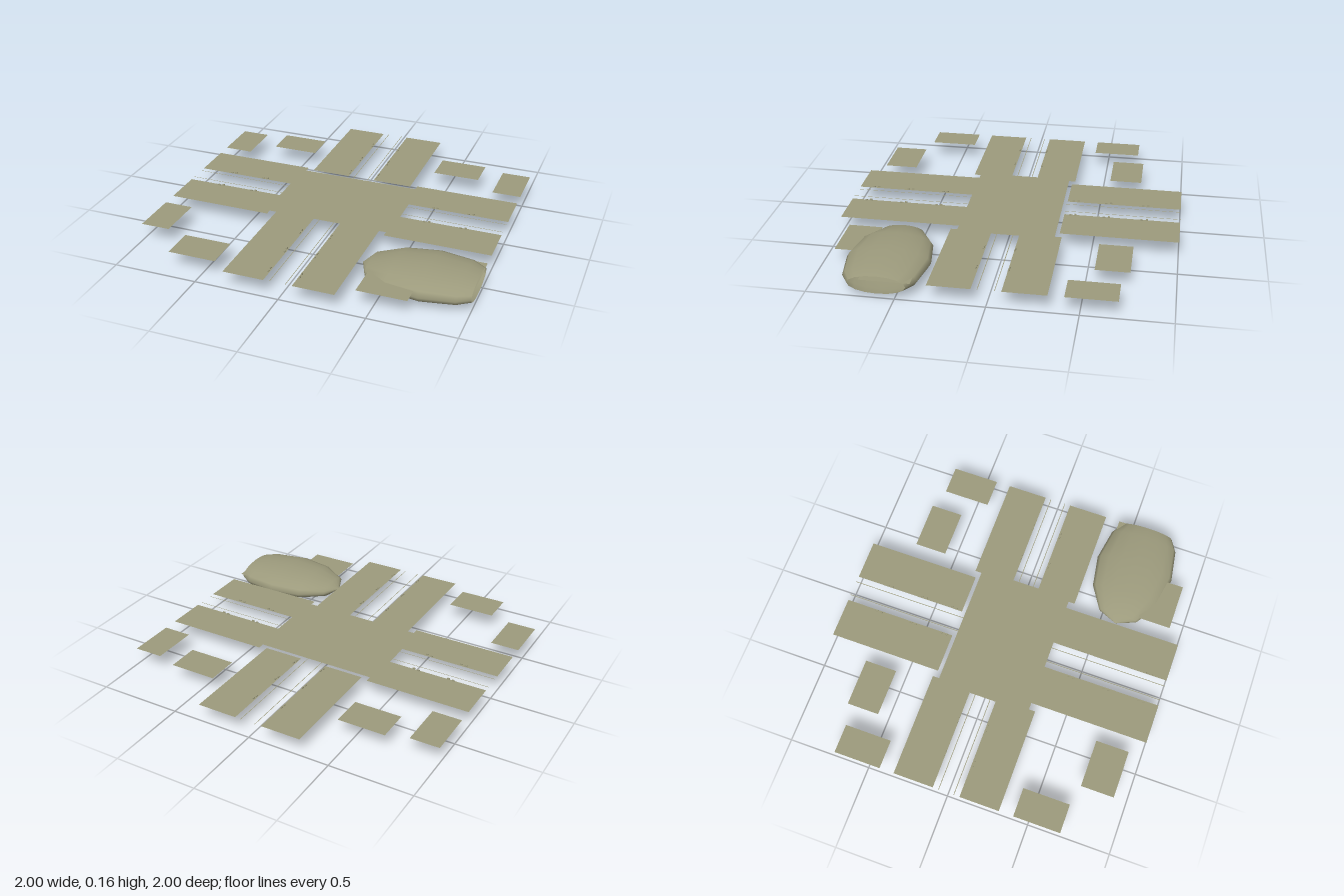
import * as THREE from 'three';

const GROUND = 0.105;

export function createModel() {
  const model = new THREE.Group();
  const sheetMat = new THREE.MeshStandardMaterial({ color: 0x9c9a7c, side: THREE.DoubleSide });

  const add = (geometry, name, parent = model) => {
    const mesh = new THREE.Mesh(geometry, sheetMat);
    mesh.name = name;
    parent.add(mesh);
    return mesh;
  };

  // Flat rectangular sheet between two corners
  const sheet = (name, x0, x1, z0, z1) => {
    const geometry = new THREE.PlaneGeometry(x1 - x0, z1 - z0).rotateX(-Math.PI / 2);
    add(geometry, name).position.set((x0 + x1) / 2, GROUND, (z0 + z1) / 2);
  };

  // Crossing
  sheet('crossing', -0.367, 0.367, -0.29, 0.283);
  sheet('crossingLeftEdge', 0.367, 0.388, -0.085, 0.08);
  sheet('crossingRightEdge', -0.39, -0.367, -0.085, 0.08);

  // Paired pavements along each arm, and the plots in each quarter
  for (const s of [-1, 1]) {
    const mirrored = (name, a, b, z0, z1) =>
      sheet(name, Math.min(s * a, s * b), Math.max(s * a, s * b), z0, z1);
    mirrored('backPavement', 0.083, 0.325, -1, -0.313);
    mirrored('frontPavement', 0.083, 0.325, 0.283, 1);
    mirrored('sidePavementBack', 0.367, 1, -0.33, -0.085);
    mirrored('sidePavementFront', 0.367, 1, 0.08, 0.322);
    mirrored('backOuterPlot', 0.825, 1, -0.703, -0.418);
    mirrored('backInnerPlot', 0.413, 0.7, -0.745, -0.55);
    mirrored('frontOuterPlot', 0.825, 1, 0.41, 0.695);
    mirrored('frontInnerPlot', 0.413, 0.7, 0.72, 0.92);
  }

  // Thin kerb line turning each corner of the crossing
  const a = 0.044, w = 0.004, r = 0.025;
  const kerb = new THREE.Shape();
  kerb.moveTo(a, 1);
  kerb.lineTo(a, a + r);
  kerb.absarc(a + r, a + r, r, Math.PI, Math.PI * 1.5, false);
  kerb.lineTo(1, a);
  kerb.lineTo(1, a + w);
  kerb.lineTo(a + r, a + w);
  kerb.absarc(a + r, a + r, r - w, Math.PI * 1.5, Math.PI, true);
  kerb.lineTo(a + w, 1);
  const kerbGeometry = new THREE.ShapeGeometry(kerb, 6).rotateX(Math.PI / 2);
  for (const sx of [-1, 1]) for (const sz of [-1, 1]) {
    const line = add(kerbGeometry, 'kerbLine');
    line.scale.set(sx, 1, sz);
    line.position.set(0, GROUND + 0.001, sz < 0 ? -0.003 : -0.001);
  }

  // Small paired fittings along the inner pavement edges
  const fitting = new THREE.BoxGeometry(0.014, 0.008, 0.007);
  const fittings = (x, z, alongZ) => {
    const pair = new THREE.Group();
    pair.name = 'kerbFitting';
    add(fitting, 'fittingBase', pair).position.set(-0.015, 0.003, 0);
    add(fitting, 'fittingTop', pair).position.set(0.015, 0.007, 0);
    pair.position.set(x, GROUND, z);
    if (alongZ) pair.rotation.y = Math.PI / 2;
    model.add(pair);
  };
  for (const s of [-1, 1]) {
    for (const x of [-0.785, -0.565, 0.555, 0.775]) fittings(x, s * 0.09, false);
    for (const z of [-0.79, -0.565, -0.365, 0.455, 0.675, 0.895]) fittings(s * 0.092, z, true);
  }

  // Open-ended flattened ellipsoid shell
  const profile = [];
  for (let i = 0; i <= 4; i++) {
    const t = (i * Math.PI) / 6;
    profile.push(new THREE.Vector2(Math.sin(t), -Math.cos(t)));
  }
  const cut = (1 - 0.73) / 0.39;
  const k = (cut - 0.5) / (Math.cos(Math.PI / 6) - 0.5);
  profile.push(new THREE.Vector2(THREE.MathUtils.lerp(Math.sin(Math.PI / 3), 0.5, k), cut));
  const shell = new THREE.LatheGeometry(profile, 16).rotateZ(-Math.PI / 2);
  shell.scale(0.39, 0.08, 0.242);
  add(shell, 'dome').position.set(0.73, 0.08, 0.598);

  return model;
}
